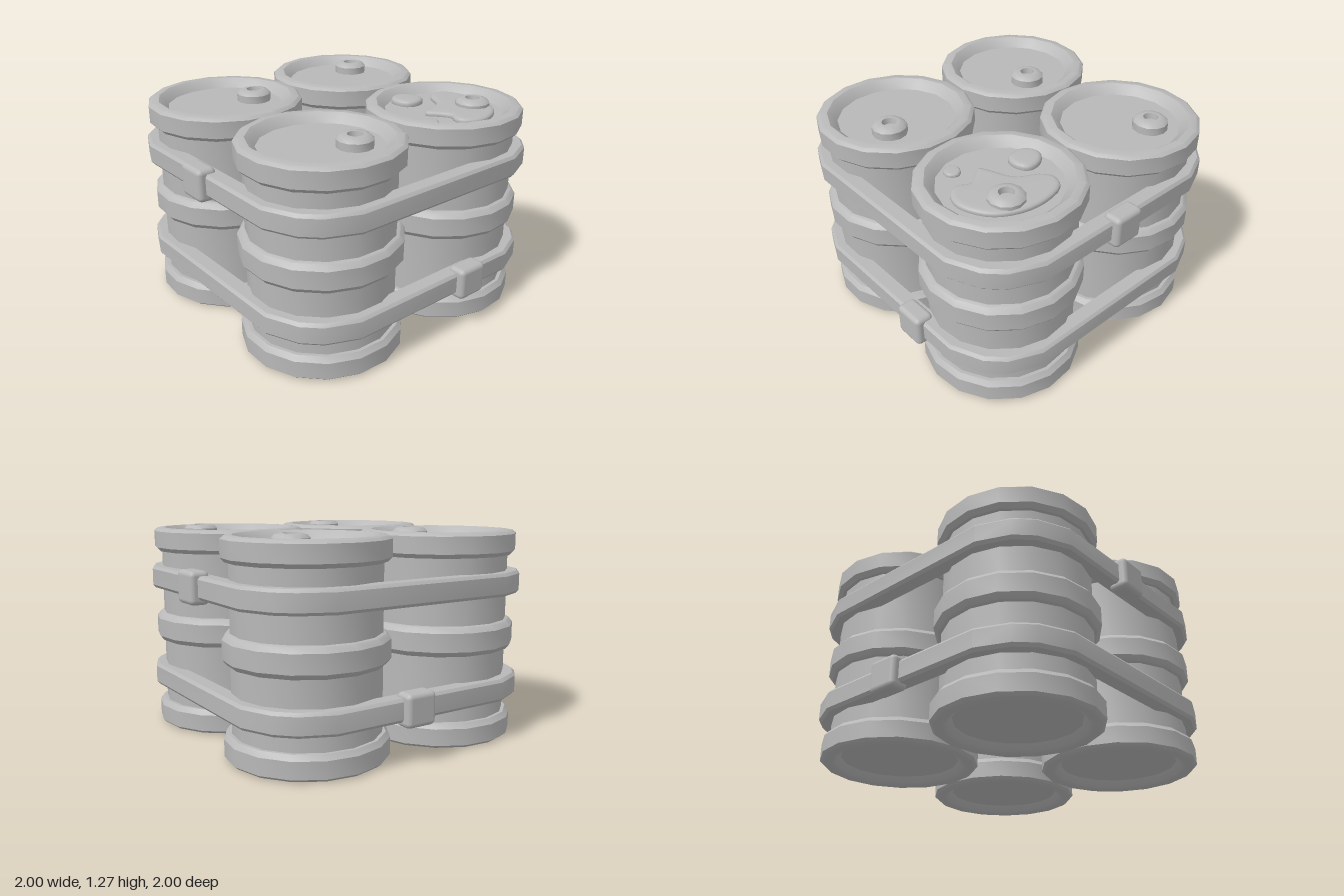
import * as THREE from 'three';
import { toCreasedNormals } from 'three/addons/utils/BufferGeometryUtils.js';
import { RoundedBoxGeometry } from 'three/addons/geometries/RoundedBoxGeometry.js';

const grey = new THREE.MeshStandardMaterial({ color: 0xb8b8b8 });
grey.name = 'plain grey';

const LID = 1.2;

function add(parent, name, geometry, x = 0, y = 0, z = 0) {
  const mesh = new THREE.Mesh(geometry, grey);
  mesh.name = name;
  mesh.position.set(x, y, z);
  parent.add(mesh);
  return mesh;
}

function lathe(profile, sides, crease = 0.65) {
  const points = profile.map(([r, y]) => new THREE.Vector2(r, y));
  return toCreasedNormals(new THREE.LatheGeometry(points, sides), crease);
}

// Drum with recessed ends and three raised hoops
function drumGeometry() {
  return lathe([
    [0, 0.05], [0.355, 0.05], [0.385, 0.015], [0.41, 0], [0.455, 0.003], [0.475, 0.02],
    [0.475, 0.12], [0.45, 0.15], [0.43, 0.15],
    [0.43, 0.54], [0.45, 0.545], [0.475, 0.575], [0.475, 0.685], [0.45, 0.715], [0.43, 0.72],
    [0.43, 1.11], [0.45, 1.11], [0.475, 1.135],
    [0.475, 1.235], [0.455, 1.252], [0.41, 1.255], [0.385, 1.235], [0.355, LID], [0, LID],
  ], 16);
}

// Filler cap with a small sunken hole
function capGeometry() {
  return lathe([
    [0.105, 0], [0.105, 0.045], [0.09, 0.062], [0.06, 0.07], [0.045, 0.07], [0.04, 0.035], [0, 0.035],
  ], 12);
}

// Strap: bevelled section swept round a square with chamfered corners
function strapGeometry() {
  const quarter = [[0.957, 0.59], [0.875, 0.78], [0.78, 0.875], [0.59, 0.957]];
  const outline = [];
  for (let k = 0; k < 4; k++) {
    for (const [x, z] of quarter) {
      const c = [1, 0, -1, 0][k], s = [0, 1, 0, -1][k];
      outline.push([x * c - z * s, x * s + z * c]);
    }
  }
  const section = [
    [0.9, -0.068], [0.985, -0.068], [1, -0.05], [1, 0.05], [0.985, 0.068], [0.9, 0.068],
  ];
  const n = outline.length, m = section.length;
  const positions = [], index = [];
  for (const [x, z] of outline) {
    for (const [scale, y] of section) positions.push(x * scale, y, z * scale);
  }
  for (let i = 0; i < n; i++) {
    for (let j = 0; j < m; j++) {
      const a = i * m + j, b = i * m + (j + 1) % m;
      const c = ((i + 1) % n) * m + j, d = ((i + 1) % n) * m + (j + 1) % m;
      index.push(a, b, c, b, d, c);
    }
  }
  const geometry = new THREE.BufferGeometry();
  geometry.setAttribute('position', new THREE.Float32BufferAttribute(positions, 3));
  geometry.setIndex(index);
  return toCreasedNormals(geometry, 0.6);
}

// Flat spill with rounded edges, outline given as x, z
function spillGeometry(outline, height, bevel) {
  const curve = new THREE.CatmullRomCurve3(
    outline.map(([x, z]) => new THREE.Vector3(x, z, 0)), true);
  const points = curve.getPoints(outline.length * 3).slice(0, -1);
  const shape = new THREE.Shape(points.map((p) => new THREE.Vector2(p.x, p.y)));
  const geometry = new THREE.ExtrudeGeometry(shape, {
    depth: height, bevelEnabled: true, bevelThickness: height,
    bevelSize: bevel, bevelOffset: -bevel, bevelSegments: 3,
  });
  geometry.rotateX(Math.PI / 2);
  geometry.translate(0, LID + height, 0);
  return toCreasedNormals(geometry, 0.9);
}

export function createModel() {
  const model = new THREE.Group();
  model.name = 'strappedDrums';

  // Drums, each turned a little differently, with its cap position
  const drum = drumGeometry(), cap = capGeometry();
  const drums = [
    ['backRightDrum', -0.475, -0.475, 0.1, -0.29, -0.435],
    ['backLeftDrum', 0.475, -0.475, 0.05, 0.63, -0.57],
    ['frontRightDrum', -0.475, 0.475, 0.18, -0.35, 0.61],
    ['frontLeftDrum', 0.475, 0.475, 0.3, 0.63, 0.57],
  ];
  for (const [name, x, z, turn, capX, capZ] of drums) {
    const group = new THREE.Group();
    group.name = name;
    model.add(group);
    add(group, 'drumBody', drum, x, 0, z).rotation.y = turn;
    add(group, 'fillerCap', cap, capX, LID, capZ);
  }

  // Spilled liquid on one lid
  add(model, 'largeSpill', spillGeometry([
    [0.31, 0.49], [0.38, 0.45], [0.5, 0.4], [0.57, 0.28], [0.64, 0.235], [0.72, 0.27],
    [0.765, 0.42], [0.75, 0.57], [0.68, 0.7], [0.57, 0.77], [0.47, 0.785], [0.38, 0.74],
    [0.36, 0.68], [0.39, 0.62], [0.36, 0.56],
  ], 0.014, 0.03));
  add(model, 'mediumSpill', spillGeometry([
    [0.32, 0.2], [0.37, 0.14], [0.44, 0.14], [0.495, 0.21], [0.49, 0.29], [0.41, 0.325], [0.34, 0.3],
  ], 0.018, 0.03));
  add(model, 'smallSpill', spillGeometry([
    [0.18, 0.59], [0.21, 0.56], [0.26, 0.57], [0.28, 0.61], [0.25, 0.65], [0.2, 0.645],
  ], 0.01, 0.012));

  // Straps and their buckles
  const strap = strapGeometry();
  add(model, 'upperStrap', strap, 0, 0.947, 0);
  add(model, 'lowerStrap', strap, 0, 0.317, 0);

  const buckle = new RoundedBoxGeometry(0.2, 0.195, 0.12, 2, 0.03);
  add(model, 'upperLeftBuckle', buckle, 0.94, 0.945, 0).rotation.y = Math.PI / 2;
  add(model, 'upperRightBuckle', buckle, -0.94, 0.945, -0.04).rotation.y = -Math.PI / 2;
  add(model, 'lowerFrontBuckle', buckle, 0.25, 0.315, 0.94);
  add(model, 'lowerBackBuckle', buckle, 0.06, 0.315, -0.94).rotation.y = Math.PI;

  return model;
}
